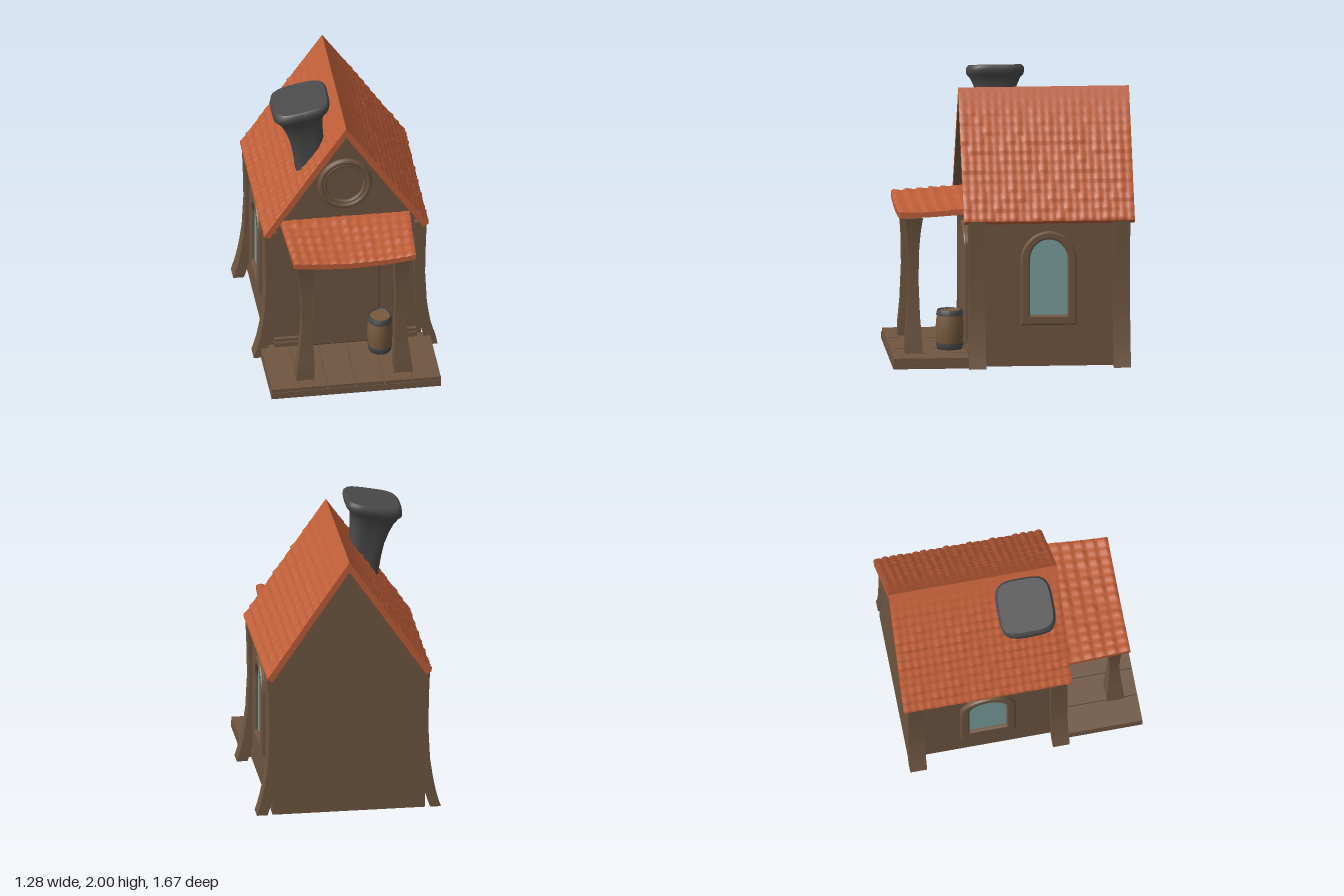
import * as THREE from 'three';

const mat = (name, color, side = THREE.FrontSide) => {
  const m = new THREE.MeshStandardMaterial({ color, side });
  m.name = name;
  return m;
};
const wood = mat('brownWood', 0x6f5641);
const barrelWood = mat('barrelWood', 0x775a3e);
const tile = mat('terracottaTile', 0xbf5e38);
const stone = mat('charcoalStone', 0x4a4a4b);
const glass = mat('paleGlass', 0x7ba19e);

const hash = (i, j) => {
  const s = Math.sin(i * 127.1 + j * 311.7) * 43758.5453;
  return s - Math.floor(s);
};

// Piecewise linear lookup in a list of [key, value] pairs
const lookup = (table, k) => {
  for (let i = 1; i < table.length; i++) {
    const [k0, v0] = table[i - 1], [k1, v1] = table[i];
    if (k <= k1) return v0 + (v1 - v0) * Math.max(0, (k - k0) / (k1 - k0));
  }
  return table[table.length - 1][1];
};

// Move every vertex of a geometry by a rule
const reshape = (geo, rule) => {
  const p = geo.attributes.position, v = new THREE.Vector3();
  for (let i = 0; i < p.count; i++) {
    rule(v.fromBufferAttribute(p, i));
    p.setXYZ(i, v.x, v.y, v.z);
  }
  geo.computeVertexNormals();
  return geo;
};

// Height of an uneven tile, u running down the slope and v along it
const tileBump = (u, v, rows, cols) => {
  const i = Math.floor(u * rows + 1e-4), j = Math.floor(v * cols + 1e-4);
  const fu = Math.max(0, u * rows - i), fv = Math.max(0, v * cols - j);
  const across = Math.pow(Math.max(0, Math.sin(Math.PI * fv)), 0.5);
  return (0.3 + 0.7 * fu) * (0.35 + 0.65 * across) * (0.65 + 0.7 * hash(i, j));
};

// Opening with an arched top
const arch = (Type, half, y0, spring, top) => {
  const s = new Type();
  s.moveTo(-half, y0);
  s.lineTo(half, y0);
  s.lineTo(half, spring);
  s.absellipse(0, spring, half, top - spring, 0, Math.PI, false, 0);
  s.lineTo(-half, y0);
  return s;
};

export function createModel() {
  const house = new THREE.Group();
  house.name = 'cottage';
  const add = (name, geo, material, x = 0, y = 0, z = 0, parent = house) => {
    const m = new THREE.Mesh(geo, material);
    m.name = name;
    m.position.set(x, y, z);
    parent.add(m);
    return m;
  };
  const box = (name, w, h, d, x, y, z) => add(name, new THREE.BoxGeometry(w, h, d), wood, x, y, z);
  const frame = (outer, inner, depth) => {
    outer.holes.push(inner);
    return new THREE.ExtrudeGeometry(outer, {
      depth, curveSegments: 14, bevelSize: 0.012, bevelThickness: 0.012, bevelOffset: -0.012, bevelSegments: 2,
    });
  };

  // Walls with gables
  const wall = new THREE.Shape([[-0.53, 0], [0.53, 0], [0.53, 1.015], [0, 1.8], [-0.53, 1.015]]
    .map(([x, y]) => new THREE.Vector2(x, y)));
  add('walls', new THREE.ExtrudeGeometry(wall, { depth: 1.075, bevelEnabled: false }), wood, 0, 0, -0.805);

  // Main roof: two tiled slabs, mitred at the ridge
  const run = 0.57, rise = 0.84, thick = 0.04, len = Math.hypot(run, rise);
  const tilt = Math.atan2(rise, run), rows = 14, cols = 22, depth = 1.18;
  const miter = thick * Math.tan(tilt);
  for (const side of [0, 1]) {
    const geo = reshape(new THREE.BoxGeometry(len, thick, depth, rows * 5, 1, cols * 4), v => {
      const u = v.x / len + 0.5, w = v.z / depth + 0.5;
      if (v.y < 0) v.x += miter * (1 - u);
      else v.y += 0.017 * Math.min(1, u * 2.5) * tileBump(u, w, rows, cols);
    });
    const pivot = new THREE.Group();
    pivot.name = side ? 'rightRoof' : 'leftRoof';
    pivot.position.z = -0.25;
    pivot.rotation.y = side * Math.PI;
    house.add(pivot);
    const slab = add('roofTiles', geo, [tile, tile, tile, wood, tile, tile],
      run / 2 - Math.sin(tilt) * thick / 2, 1.86 - rise / 2 - Math.cos(tilt) * thick / 2, 0, pivot);
    slab.rotation.z = -tilt;
  }

  // Porch roof, sagging in the middle of its front edge
  const porch = reshape(new THREE.BoxGeometry(0.9, 0.035, 0.5, 52, 1, 30), v => {
    const u = v.z / 0.5 + 0.5, w = v.x / 0.9 + 0.5;
    if (v.y > 0) v.y += 0.022 * tileBump(u, w, 6, 13);
    v.y += 0.06 * (1 - u) ** 1.3 + 0.03 * u * (v.x / 0.45) ** 2;
    v.x *= 1 - 0.06 * u;
  });
  add('porchRoof', porch, [tile, tile, tile, wood, tile, tile], 0, 1.015, 0.525);

  // Flared corner posts
  const flare = [[0, 0.64], [0.05, 0.624], [0.12, 0.605], [0.22, 0.585], [0.36, 0.565], [0.6, 0.553], [0.85, 0.558], [1.02, 0.565]];
  for (const s of [-1, 1]) for (const z of [0.25, -0.75]) {
    const geo = reshape(new THREE.BoxGeometry(1, 1.02, 0.115, 1, 17, 1), v => {
      const y = v.y + 0.51, outer = lookup(flare, y);
      v.x = s * (v.x * s > 0 ? outer : outer - 0.075 + (y > 0.95 ? -0.01 : 0));
      v.z *= 1 + 0.1 * Math.abs(y - 0.5) ** 2;
    });
    add('cornerPost', geo, wood, 0, 0.51, z);
  }

  // Porch floor: base slab and planks
  box('porchBase', 1.18, 0.048, 0.57, 0, 0.024, 0.545);
  for (let i = 0; i < 6; i++) box('porchPlank', 0.191, 0.027, 0.56, (i - 2.5) * 0.197, 0.0605, 0.545);

  // Porch posts, narrow at mid height
  const waist = [[0, 0.064], [0.08, 0.062], [0.25, 0.047], [0.5, 0.037], [0.72, 0.04], [0.86, 0.052], [0.95, 0.066]];
  for (const s of [-1, 1]) {
    const geo = reshape(new THREE.BoxGeometry(2, 0.95, 2, 1, 19, 1), v => {
      const y = v.y + 0.475, h = lookup(waist, y);
      v.x = v.x * h + s * 0.018 * (2 * y - 1) ** 2;
      v.z = v.z * h * 0.95;
    });
    add('porchPost', geo, wood, s * 0.325, 0.545, 0.675);
    box('skirtingLower', 0.25, 0.035, 0.045, s * 0.37, 0.09, 0.285);
    box('skirtingUpper', 0.25, 0.025, 0.03, s * 0.37, 0.12, 0.28);
  }

  // Door with its arched frame and worn brown panel
  add('doorFrame', frame(arch(THREE.Shape, 0.24, 0.07, 0.79, 0.925), arch(THREE.Path, 0.145, 0.07, 0.7, 0.845), 0.04),
    wood, 0, 0, 0.268);
  add('door', new THREE.ShapeGeometry(arch(THREE.Shape, 0.16, 0.07, 0.7, 0.86), 14), stone, 0, 0, 0.275);
  const patch = new THREE.Shape([[-0.04, 0.075], [0.04, 0.075], [0.06, 0.15], [0.095, 0.3], [0.125, 0.5], [0.13, 0.6],
    [0.105, 0.74], [0.05, 0.81], [0, 0.845], [-0.09, 0.81], [-0.115, 0.72], [-0.1, 0.6], [-0.11, 0.5], [-0.09, 0.38], [-0.06, 0.24]]
    .map(([x, y]) => new THREE.Vector2(x, y)));
  add('doorPanel', new THREE.ShapeGeometry(patch), wood, 0, 0, 0.28);

  // Round gable ornament
  for (const [r, tube] of [[0.168, 0.023], [0.143, 0.016]]) {
    const ring = add('gableRing', new THREE.TorusGeometry(r, tube, 8, 36), wood, 0, 1.367, 0.272);
    ring.scale.y = 1.07;
  }

  // Arched side windows
  for (const s of [-1, 1]) {
    const win = new THREE.Group();
    win.name = s > 0 ? 'leftWindow' : 'rightWindow';
    win.position.set(s * 0.53, 0, -0.247);
    win.rotation.y = s * Math.PI / 2;
    house.add(win);
    add('windowFrame', frame(arch(THREE.Shape, 0.195, 0.29, 0.74, 0.945), arch(THREE.Path, 0.13, 0.36, 0.75, 0.89), 0.02),
      wood, 0, 0, 0, win);
    add('windowGlass', new THREE.ShapeGeometry(arch(THREE.Shape, 0.14, 0.35, 0.75, 0.9), 14), glass, 0, 0, 0.006, win);
  }

  // Leaning chimney: rounded square sections [y, centre x, half width, slope]
  const sections = [[1.3, -0.2, 0.11, 0], [1.45, -0.213, 0.11, 0.03], [1.56, -0.228, 0.113, 0.07], [1.66, -0.245, 0.118, 0.1],
    [1.75, -0.265, 0.13, 0.14], [1.82, -0.28, 0.147, 0.17], [1.875, -0.289, 0.172, 0.2], [1.895, -0.287, 0.193, 0.2],
    [1.925, -0.285, 0.197, 0.2], [1.948, -0.285, 0.194, 0.2], [1.962, -0.285, 0.18, 0.2]];
  const steps = sections.length - 1;
  const chimney = reshape(new THREE.CylinderGeometry(1, 1, 1, 40, steps), v => {
    const [y, cx, half, slope] = sections[Math.round((v.y + 0.5) * steps)];
    const r = Math.hypot(v.x, v.z);
    const k = r > 0 ? half / Math.pow((v.x / r) ** 4 + (v.z / r) ** 4, 0.25) : 0;
    v.set(cx + v.x * k, y + slope * v.x * k, v.z * k);
  });
  add('chimney', chimney, stone, 0, 0, 0.065);

  // Barrel with two hoops
  const ring = pts => new THREE.LatheGeometry(pts.map(([r, y]) => new THREE.Vector2(r, y)), 20);
  const barrel = new THREE.Group();
  barrel.name = 'barrel';
  barrel.position.set(0.222, 0.073, 0.415);
  barrel.scale.x = 0.9;
  house.add(barrel);
  add('staves', ring([[0.08, 0], [0.092, 0.06], [0.099, 0.14], [0.092, 0.215], [0.082, 0.265]]), barrelWood, 0, 0, 0, barrel);
  add('lid', new THREE.CylinderGeometry(0.084, 0.084, 0.01, 20), barrelWood, 0, 0.262, 0, barrel);
  add('lowerHoop', ring([[0.07, 0], [0.086, 0], [0.096, 0.045], [0.085, 0.045]]), stone, 0, 0, 0, barrel);
  add('upperHoop', ring([[0.085, 0.238], [0.094, 0.238], [0.087, 0.275], [0.078, 0.275], [0.078, 0.26]]), stone, 0, 0, 0, barrel);

  return house;
}
